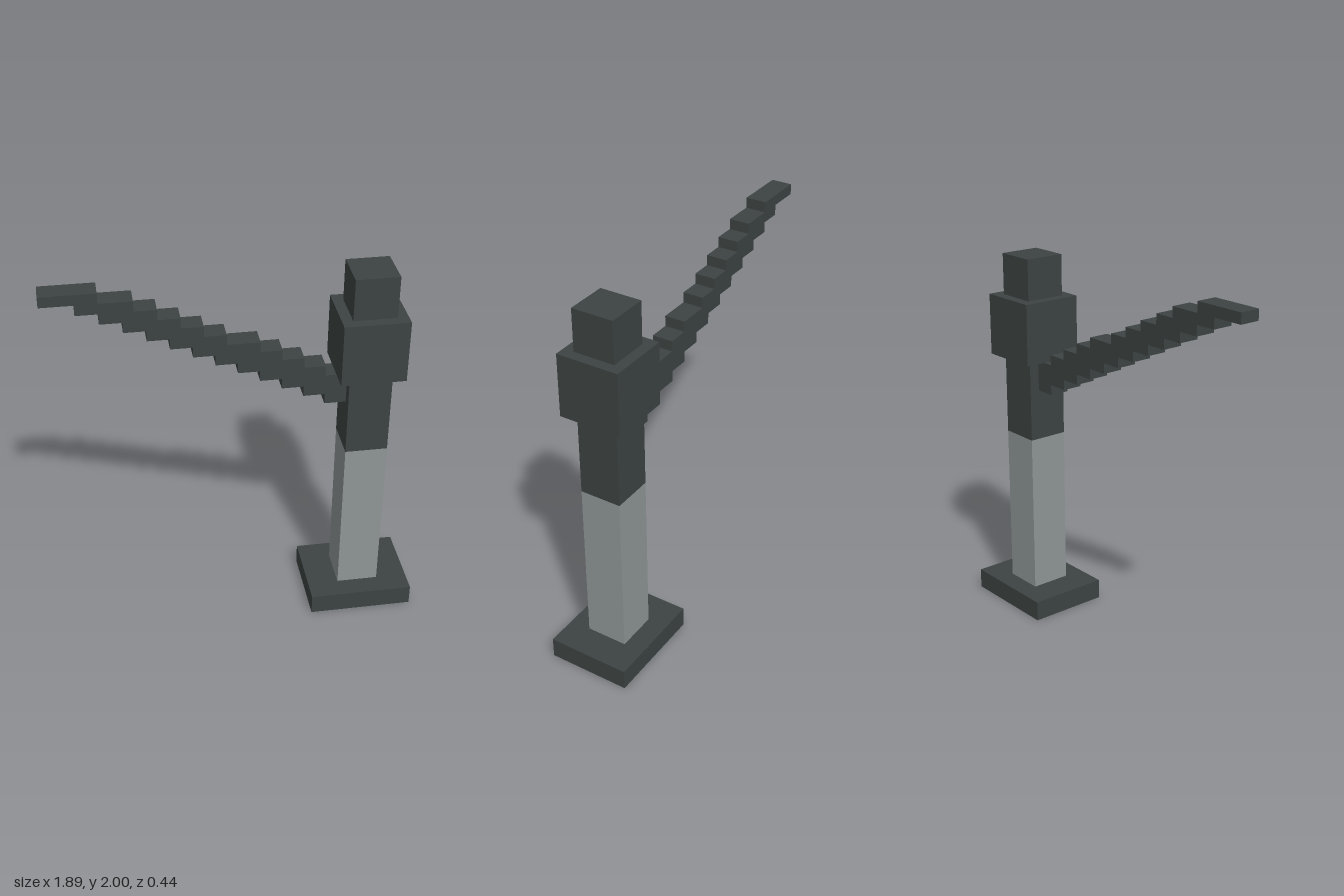
import * as THREE from 'three';

const U = 1 / 18; // block unit

export function createModel() {
  const model = new THREE.Group();
  const dark = new THREE.MeshStandardMaterial({ name: 'darkGrey', color: 0x3c4342 });
  const light = new THREE.MeshStandardMaterial({ name: 'lightGrey', color: 0x8f9596 });

  // Square-cornered block centred on the post, sizes in block units
  const block = (name, material, width, depth, y0, y1) => {
    const mesh = new THREE.Mesh(new THREE.BoxGeometry(width * U, (y1 - y0) * U, depth * U), material);
    mesh.position.set(12 * U, (y0 + y1) / 2 * U, 0);
    mesh.name = name;
    model.add(mesh);
  };
  block('base', dark, 10, 8, 0, 2);
  block('lowerPost', light, 4, 4, 2, 18);
  block('upperPost', dark, 4, 4, 18, 26);
  block('head', dark, 6, 6, 26, 32);
  block('cap', dark, 4, 4, 32, 36);

  // Stepped arm: underside steps down to the post, then the top steps back up
  const outline = [[-17, 36], [-17, 35]];
  for (let i = 0; i < 12; i++) {
    const x = -14 + 2 * i;
    outline.push([x, 35 - i], [x, 34 - i]);
  }
  outline.push([10, 23], [10, 26]);
  [8, 6, 4, 2, -1, -3, -5, -7, -9, -12].forEach((x, i) => outline.push([x, 26 + i], [x, 27 + i]));
  const shape = new THREE.Shape(outline.map(([x, y]) => new THREE.Vector2(x * U, y * U)));
  const arm = new THREE.Mesh(
    new THREE.ExtrudeGeometry(shape, { depth: 2 * U, bevelEnabled: false }).translate(0, 0, -U), dark);
  arm.name = 'steppedArm';
  model.add(arm);

  return model;
}
